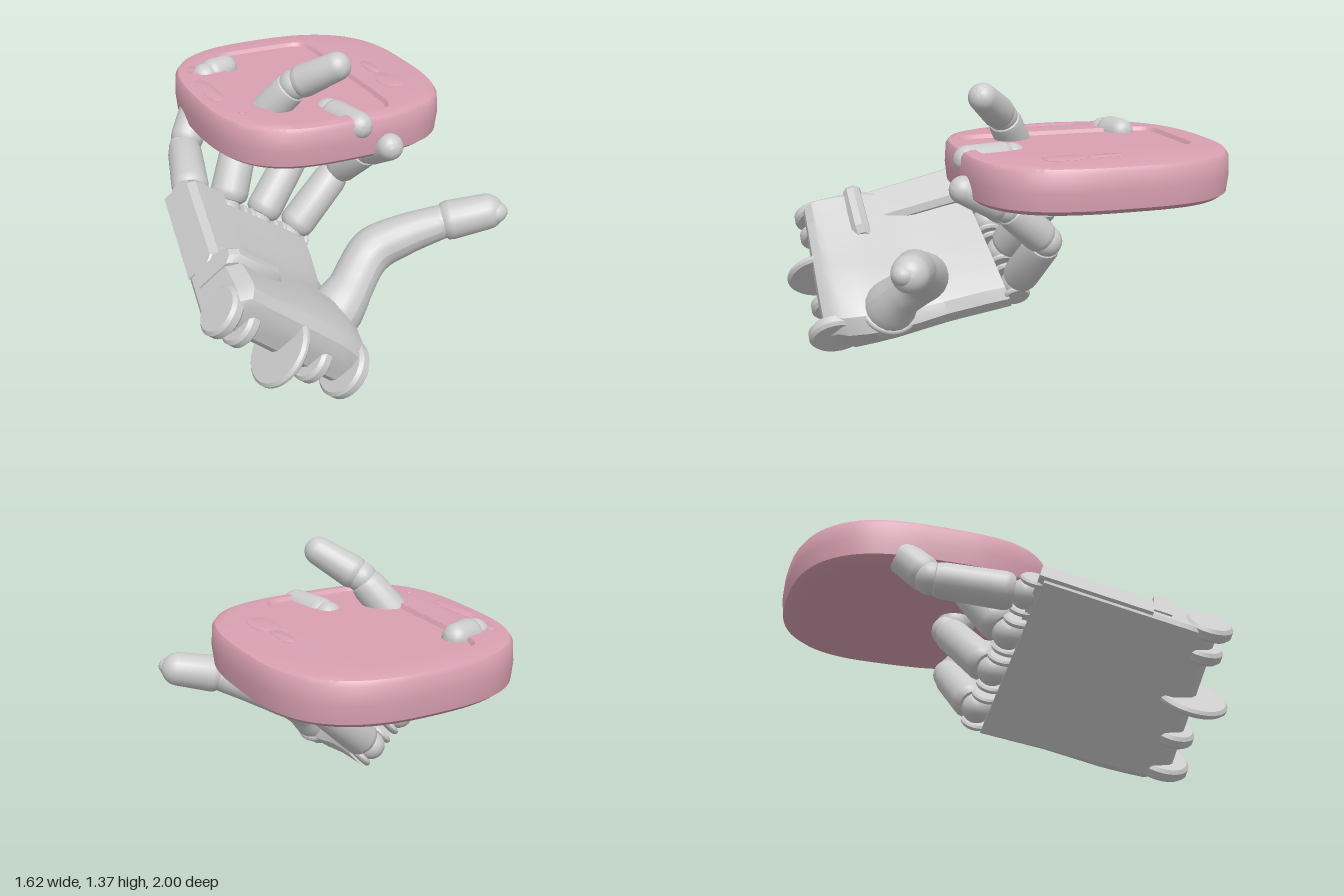
import * as THREE from 'three';
import { toCreasedNormals } from 'three/addons/utils/BufferGeometryUtils.js';

const V = (x, y, z) => new THREE.Vector3(x, y, z);
const grey = new THREE.MeshStandardMaterial({ color: 0xcccccc });
const pink = new THREE.MeshStandardMaterial({ color: 0xd9a0b2 });

// Palm frame: u runs index side to little side, w wrist to fingers, h off the back plate
const [A, B, C, D] = [V(-0.2, 0, 0.8), V(-0.8, 0.5, 0.8), V(0.03, 0.235, -0.13), V(-0.68, 0.73, -0.04)];
const across = B.clone().sub(A).normalize();
const along = C.clone().sub(A).normalize();
const normal = along.clone().cross(across).normalize();
const P = (u, w, h) => A.clone().lerp(B, u).lerp(C.clone().lerp(D, u), w).addScaledVector(normal, h);

function mesh(name, geometry, material = grey) {
  const m = new THREE.Mesh(geometry, material);
  m.name = name;
  return m;
}

// Skin through equal-length rings, closed at both ends
function loft(rings, crease = 0.6) {
  const centre = (r) => {
    const c = r.reduce((s, p) => s.add(p), V(0, 0, 0)).divideScalar(r.length);
    return r.map(() => c);
  };
  const all = [centre(rings[0]), ...rings, centre(rings[rings.length - 1])];
  const n = rings[0].length, pos = [], idx = [];
  all.forEach((r) => r.forEach((p) => pos.push(p.x, p.y, p.z)));
  for (let i = 0; i < all.length - 1; i++) {
    for (let j = 0; j < n; j++) {
      const k = (j + 1) % n, a = i * n + j, b = i * n + k;
      if (i < all.length - 2) idx.push(b, a + n, b + n);
      if (i > 0) idx.push(a, a + n, b);
    }
  }
  const g = new THREE.BufferGeometry();
  g.setAttribute('position', new THREE.Float32BufferAttribute(pos, 3));
  g.setIndex(idx);
  return toCreasedNormals(g, crease);
}

// Block in palm coordinates with chamfered upper edges
function block(name, u0, u1, w0, w1, h0, h1) {
  const e = (u1 - u0) * 0.12, ring = (w, h) => [
    P(u1, w, h0), P(u0, w, h0), P(u0, w, h - 0.03), P(u0 + e, w, h), P(u1 - e, w, h), P(u1, w, h - 0.03)];
  return mesh(name, loft([ring(w0, h1 - 0.03), ring(w0 + 0.03, h1), ring(w1 - 0.03, h1), ring(w1, h1 - 0.03)]));
}

// Rounded plate whose axis runs across the palm
function disc(name, u, w, h, r, thick) {
  const b = Math.min(0.015, thick / 3), t = thick / 2;
  const profile = [[0, -t], [r - b, -t], [r, -t + b], [r, t - b], [r - b, t], [0, t]].map((p) => new THREE.Vector2(...p));
  const m = mesh(name, toCreasedNormals(new THREE.LatheGeometry(profile, 32), 0.5));
  m.position.copy(P(u, w, h));
  m.quaternion.setFromUnitVectors(V(0, 1, 0), across);
  return m;
}

// Finger link from a to b, tapered, with rounded shoulders; tips get a full dome
function link(name, a, b, ra, rb, tip = false) {
  const L = a.distanceTo(b), pts = [[0, 0], [ra * 0.75, 0], [ra * 0.95, 0.02], [ra, 0.045]];
  if (tip) for (let i = 0; i <= 8; i++) {
    const t = (i / 8) * Math.PI / 2;
    pts.push([Math.max(0, rb * Math.cos(t)), L - rb * 0.5 + rb * Math.sin(t)]);
  }
  else pts.push([rb, L - 0.045], [rb * 0.93, L - 0.015], [rb * 0.7, L], [0, L]);
  const geo = new THREE.LatheGeometry(pts.map((p) => new THREE.Vector2(...p)), 20);
  const m = mesh(name, toCreasedNormals(geo, 0.65));
  m.position.copy(a);
  m.quaternion.setFromUnitVectors(V(0, 1, 0), b.clone().sub(a).normalize());
  return m;
}

function ball(name, p, r) {
  const m = mesh(name, new THREE.SphereGeometry(r, 20, 14));
  m.position.copy(p);
  return m;
}

function makeFinger(name, u, points, r) {
  const g = new THREE.Group();
  g.name = name;
  const all = [P(u, 0.98, 0.065), ...points];
  for (let i = 0; i < 3; i++) {
    const a = all[i], b = all[i + 1], dir = b.clone().sub(a).normalize();
    const start = a.clone().addScaledVector(dir, i ? 0.012 : 0.05);
    const end = i < 2 ? b.clone().addScaledVector(dir, -0.012) : b;
    const s = r * (1 - 0.07 * i);
    g.add(link(['lowerLink', 'middleLink', 'fingertip'][i], start, end, s, s * (i < 2 ? 0.95 : 0.86), i === 2));
    g.add(ball('joint', a, s * (i ? 0.92 : 0.8)));
  }
  // fork on the palm holding the knuckle
  for (const s of [-1, 1]) g.add(disc('knucklePlate', u + s * 0.09, 0.96, 0.067, 0.07, 0.028));
  g.add(disc('knucklePin', u, 0.98, 0.06, 0.025, 0.15));
  return g;
}

function makePalm() {
  const g = new THREE.Group();
  g.name = 'palm';
  // [distance from wrist, underside, thickness, swelling at the thumb root]
  const sections = [[-0.02, 0.09, 0.21, 0], [0, 0.06, 0.26, 0], [0.05, 0.03, 0.285, 0.005], [0.1, 0, 0.285, 0.015],
    [0.2, 0, 0.27, 0.02], [0.32, 0, 0.24, 0.02], [0.45, 0, 0.185, 0.01], [0.6, 0, 0.15, 0], [0.8, 0, 0.15, 0], [0.92, 0, 0.14, 0]];
  g.add(mesh('palmShell', loft(sections.map(([w, b, h, s]) => [
    P(0.98, w, b), P(0.02, w, b), P(-s, w, b + 0.02), P(-s * 3, w, h * 0.65), P(0.06 - s * 2, w, h * 0.92),
    P(0.2, w, h + s), P(0.4, w, h), P(0.6, w, h), P(0.8, w, h * 0.98),
    P(0.94, w, h), P(1, w, h * 0.8), P(1, w, b + 0.02)]), 0.5)));
  g.add(block('sideBlock', 0.74, 1.01, 0.34, 0.95, 0.01, 0.19));
  g.add(block('crossStrap', 0.62, 1.01, 0.24, 0.34, 0.05, 0.285));
  // wrist hinge plates
  for (const [u, h, r] of [[0.04, 0.13, 0.14], [0.27, 0.1, 0.11], [0.83, 0.1, 0.105], [0.98, 0.11, 0.115]])
    g.add(disc('wristPlate', u, 0.035, h, r, 0.065));
  g.add(disc('wristDisc', 0.53, 0, 0.09, 0.175, 0.04));
  return g;
}

function makeThumb() {
  const g = new THREE.Group();
  g.name = 'thumb';
  const curve = new THREE.CatmullRomCurve3([V(-0.12, 0.2, 0.57), V(0.01, 0.32, 0.535), V(0.19, 0.465, 0.44), V(0.33, 0.535, 0.475), V(0.5, 0.605, 0.545)]);
  const radii = [0.13, 0.13, 0.108, 0.106, 0.11, 0.102, 0.092, 0.082];
  const N = 28, S = 20, tube = new THREE.TubeGeometry(curve, N, 1, S), p = tube.attributes.position, q = V(0, 0, 0);
  for (let i = 0; i <= N; i++) {
    const c = curve.getPointAt(i / N), f = (i / N) * 6.999, k = Math.floor(f);
    const r = THREE.MathUtils.lerp(radii[k], radii[k + 1], f - k);
    for (let j = 0; j <= S; j++) {
      const id = i * (S + 1) + j;
      q.fromBufferAttribute(p, id).sub(c).multiplyScalar(r).add(c);
      p.setXYZ(id, q.x, q.y, q.z);
    }
  }
  tube.computeVertexNormals();
  g.add(mesh('thumbBody', tube), ball('thumbJoint', V(0.5, 0.605, 0.545), 0.082));
  g.add(link('thumbTip', V(0.5, 0.608, 0.55), V(0.742, 0.662, 0.635), 0.095, 0.086, true));
  const nail = ball('thumbNail', V(0.715, 0.655, 0.65), 0.065);
  nail.scale.set(1.2, 0.85, 0.9);
  nail.rotation.set(0, -0.35, 0.22);
  g.add(nail);
  // socket collar at the thumb root
  const collar = mesh('thumbCollar', new THREE.TorusGeometry(0.135, 0.02, 10, 36));
  collar.position.set(-0.08, 0.255, 0.555);
  collar.quaternion.setFromUnitVectors(V(0, 0, 1), V(0.74, 0.65, -0.15).normalize());
  g.add(collar);
  return g;
}

function makeTablet() {
  const g = new THREE.Group();
  g.name = 'tablet';
  const M = 96;
  // squarish oval, slightly fuller toward the front
  const ring = (cx, cz, rx, rz, n, y) => Array.from({ length: M }, (_, j) => {
    const t = (j / M) * Math.PI * 2, c = Math.cos(t), s = Math.sin(t), e = 2 / (n * (1 + 0.08 * s));
    return V(cx + rx * Math.sign(c) * Math.abs(c) ** e, y, cz + rz * Math.sign(s) * Math.abs(s) ** e);
  });
  const body = (y, inset) => ring(0.2, -0.36, 0.61 - inset, 0.64 - inset, 2.95, y);
  const screen = (y, grow) => ring(0.15, -0.32, 0.27 + grow, 0.51 + grow, 9, y);
  // outer wall, rim, then the sunken screen
  g.add(mesh('slab', loft([body(0.858, 0.09), body(0.868, 0.035), body(0.89, 0.008), body(0.97, 0),
    body(1.055, 0.005), body(1.075, 0.018), body(1.084, 0.05), screen(1.084, 0.012), screen(1.066, 0)], 0.7), pink));
  // uneven controls on the rim
  for (const [x, z, rx, rz] of [[-0.31, -0.36, 0.04, 0.15], [-0.28, -0.65, 0.03, 0.06], [0.57, -0.12, 0.06, 0.1], [0.57, -0.32, 0.03, 0.09], [-0.27, -0.03, 0.018, 0.018]]) {
    g.add(mesh('rimControl', loft([ring(x, z, rx, rz, 3, 1.07), ring(x, z, rx, rz, 3, 1.085), ring(x, z, rx * 0.8, rz * 0.9, 3, 1.089)]), pink));
  }
  return g;
}

export function createModel() {
  const model = new THREE.Group();
  model.name = 'mechanicalHandWithTablet';
  model.add(makePalm(), makeThumb(), makeTablet());
  model.add(makeFinger('indexFinger', 0.12, [V(0.29, 0.63, -0.135), V(0.35, 0.82, 0.08), V(0.355, 0.935, 0.32)], 0.09));
  model.add(makeFinger('middleFinger', 0.37, [V(0.1, 0.78, -0.2), V(0.17, 1.02, 0), V(0.225, 1.035, 0.265)], 0.09));
  model.add(makeFinger('ringFinger', 0.61, [V(-0.21, 0.88, -0.2), V(-0.01, 1.19, -0.01), V(0.165, 1.325, 0.155)], 0.094));
  model.add(makeFinger('littleFinger', 0.86, [V(-0.43, 0.77, -0.43), V(-0.23, 1.05, -0.63), V(-0.075, 1.07, -0.68)], 0.09));
  return model;
}
